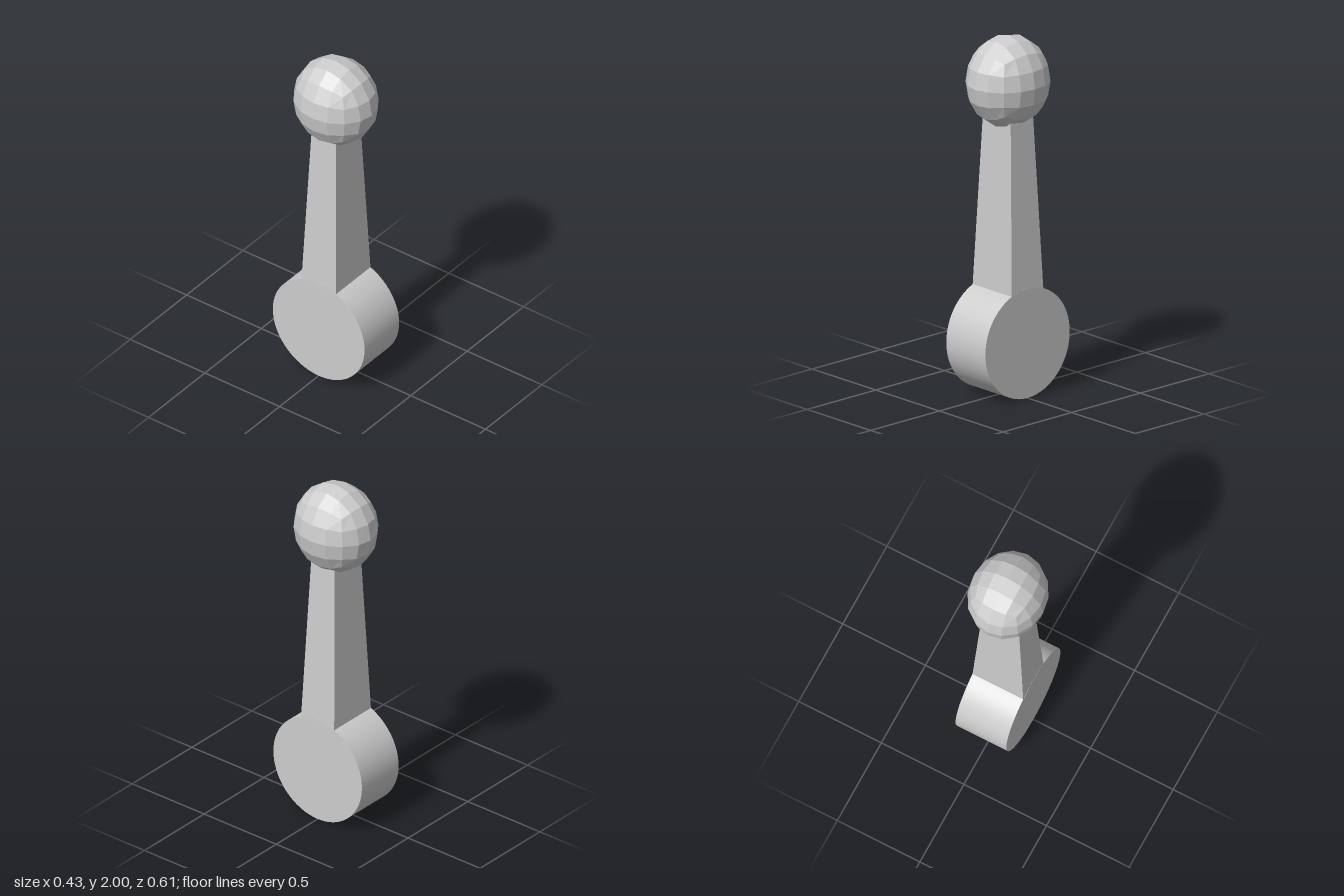
import * as THREE from 'three';

const grey = new THREE.MeshStandardMaterial({ color: 0xcccccc });
grey.name = 'grey';

function part(name, geometry, y) {
  const mesh = new THREE.Mesh(geometry, grey);
  mesh.name = name;
  mesh.position.y = y;
  return mesh;
}

// Faceted egg: a 4x4x4 cube grid rounded to a sphere, then stretched
function knobGeometry(rx, ry, rz) {
  const geo = new THREE.BoxGeometry(2, 2, 2, 4, 4, 4).toNonIndexed();
  const pos = geo.attributes.position;
  const v = new THREE.Vector3();
  for (let i = 0; i < pos.count; i++) {
    v.fromBufferAttribute(pos, i);
    const src = v.toArray();
    // half-way grid lines bow inward toward the middle of each face
    const out = src.map((c, k) => {
      if (Math.abs(Math.abs(c) - 0.5) > 0.01) return c;
      const other = Math.min(Math.abs(src[(k + 1) % 3]), Math.abs(src[(k + 2) % 3]));
      return Math.sign(c) * (0.39 + 0.11 * other * other);
    });
    v.fromArray(out).normalize();
    pos.setXYZ(i, v.x * rx, v.y * ry, v.z * rz);
  }
  geo.computeVertexNormals();
  return geo;
}

// Four-sided stem, narrowing upward
function stemGeometry(height, bottom, top) {
  const geo = new THREE.BoxGeometry(2, height, 2).toNonIndexed();
  const pos = geo.attributes.position;
  for (let i = 0; i < pos.count; i++) {
    const [hx, hz] = pos.getY(i) > 0 ? top : bottom;
    pos.setX(i, pos.getX(i) * hx);
    pos.setZ(i, pos.getZ(i) * hz);
  }
  geo.computeVertexNormals();
  return geo;
}

export function createModel() {
  const group = new THREE.Group();
  group.name = 'lever';

  // Round pivot lying along x
  const hub = new THREE.CylinderGeometry(0.307, 0.307, 0.307, 64).rotateZ(Math.PI / 2);
  group.add(part('pivotHub', hub, 0.307));

  // Stem from the hub up into the knob
  group.add(part('stem', stemGeometry(1.01, [0.1535, 0.115], [0.107, 0.08]), 0.592 + 0.505));

  group.add(part('knob', knobGeometry(0.213, 0.256, 0.24), 1.744));
  return group;
}
